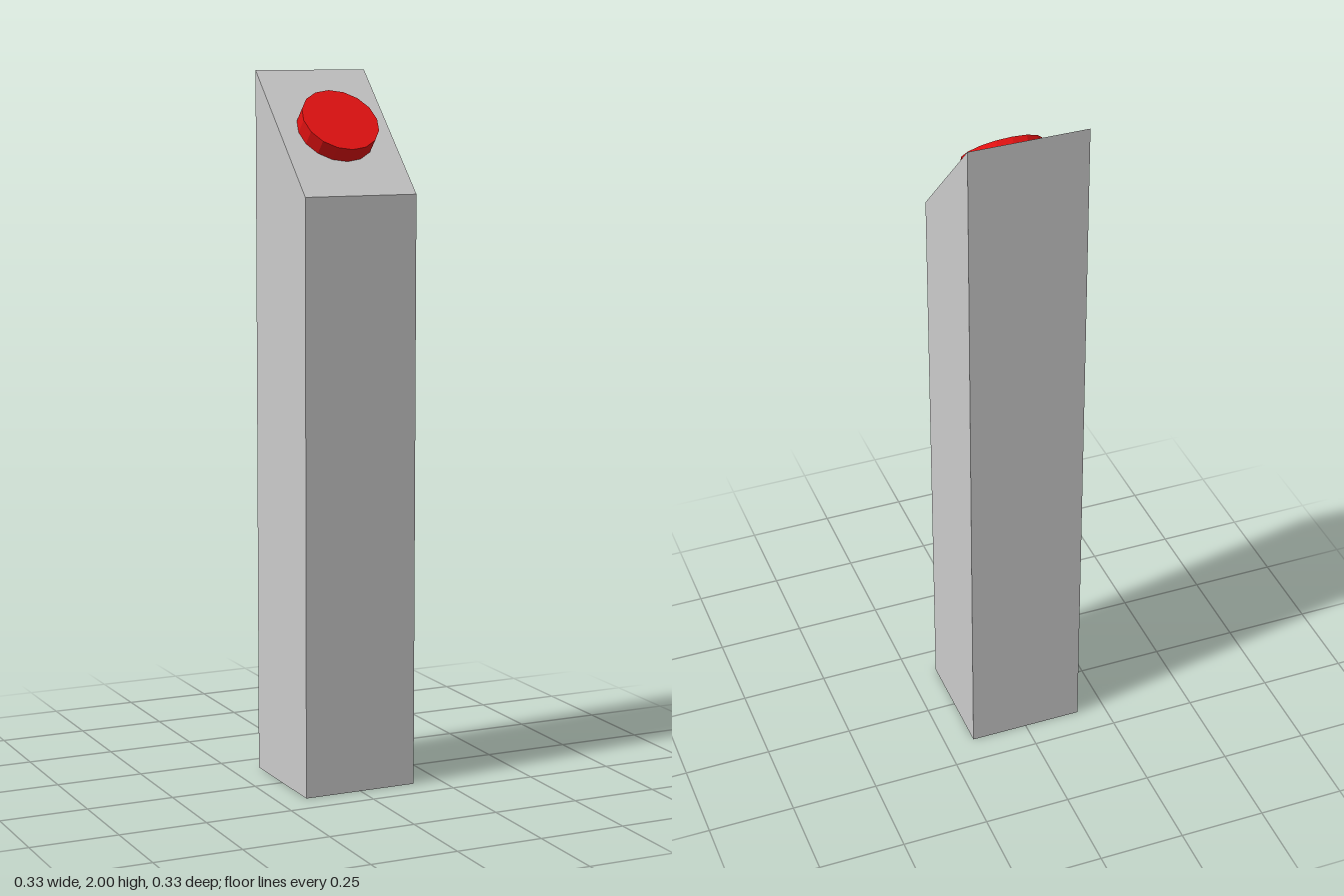
import * as THREE from 'three';

const WIDTH = 1 / 3;
const BACK_HEIGHT = 2;
const FRONT_HEIGHT = BACK_HEIGHT - WIDTH; // top slopes at 45 degrees

// Square post with its top cut at a slant towards the front
function createPost() {
  const geometry = new THREE.BoxGeometry(WIDTH, BACK_HEIGHT, WIDTH);
  geometry.translate(0, BACK_HEIGHT / 2, 0);
  const pos = geometry.attributes.position;
  for (let i = 0; i < pos.count; i++) {
    if (pos.getY(i) > 1 && pos.getZ(i) > 0) pos.setY(i, FRONT_HEIGHT);
  }
  geometry.computeVertexNormals();
  const post = new THREE.Mesh(
    geometry,
    new THREE.MeshStandardMaterial({ color: 0xcccccc, flatShading: true })
  );
  post.name = 'post';
  return post;
}

// Round push button resting on the middle of the slanted top
function createButton() {
  const radius = WIDTH / 3;
  const height = 0.048;
  const geometry = new THREE.CylinderGeometry(radius, radius, height, 16);
  geometry.translate(0, height / 2, 0);
  const button = new THREE.Mesh(
    geometry,
    new THREE.MeshStandardMaterial({ color: 0xe61212, flatShading: true })
  );
  button.name = 'button';
  button.position.y = (FRONT_HEIGHT + BACK_HEIGHT) / 2;
  button.rotation.x = Math.PI / 4;
  return button;
}

export function createModel() {
  const model = new THREE.Group();
  model.name = 'buttonPost';
  model.add(createPost(), createButton());
  return model;
}
